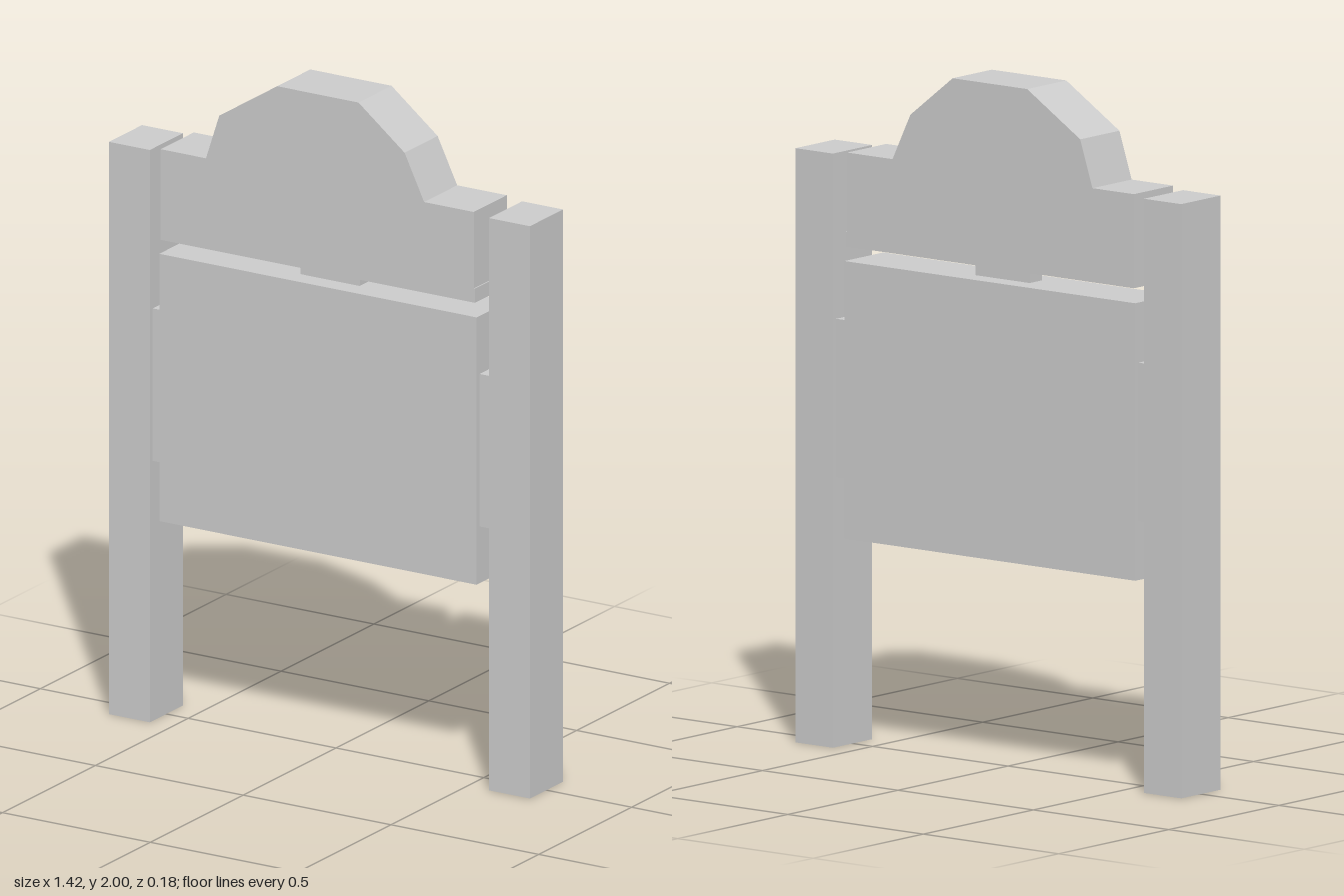
import * as THREE from 'three';

const DEPTH = 0.178;

export function createModel() {
  const group = new THREE.Group();
  const material = new THREE.MeshStandardMaterial({ color: 0xcccccc, flatShading: true });

  const add = (name, geometry) => {
    const mesh = new THREE.Mesh(geometry, material);
    mesh.name = name;
    group.add(mesh);
  };
  // Box given by its x range, y range and depth, centred on z = 0
  const slab = (name, x0, x1, y0, y1, depth) =>
    add(name, new THREE.BoxGeometry(x1 - x0, y1 - y0, depth)
      .translate((x0 + x1) / 2, (y0 + y1) / 2, 0));

  // Two square posts
  slab('leftPost', 0.574, 0.712, 0, 1.73, DEPTH);
  slab('rightPost', -0.712, -0.574, 0, 1.73, DEPTH);

  // Main sign board, held to the posts by recessed brackets
  slab('signPanel', -0.542, 0.532, 0.614, 1.422, DEPTH);
  slab('leftBracket', 0.532, 0.574, 0.786, 1.247, 0.148);
  slab('rightBracket', -0.574, -0.542, 0.786, 1.247, 0.148);

  // Small spacer between board and header
  slab('headerSpacer', -0.103, 0.098, 1.422, 1.465, 0.056);

  // Header board with a faceted crest
  const outline = [
    [-0.537, 1.465], [0.526, 1.465], [0.526, 1.508], [0.522, 1.508], [0.522, 1.739],
    [0.354, 1.739], [0.288, 1.876], [0.132, 2], [-0.143, 2],
    [-0.339, 1.876], [-0.384, 1.739], [-0.537, 1.739],
  ].map(([x, y]) => new THREE.Vector2(x, y));
  add('headerBoard', new THREE.ExtrudeGeometry(new THREE.Shape(outline),
    { depth: DEPTH, bevelEnabled: false }).translate(0, 0, -DEPTH / 2));

  return group;
}
